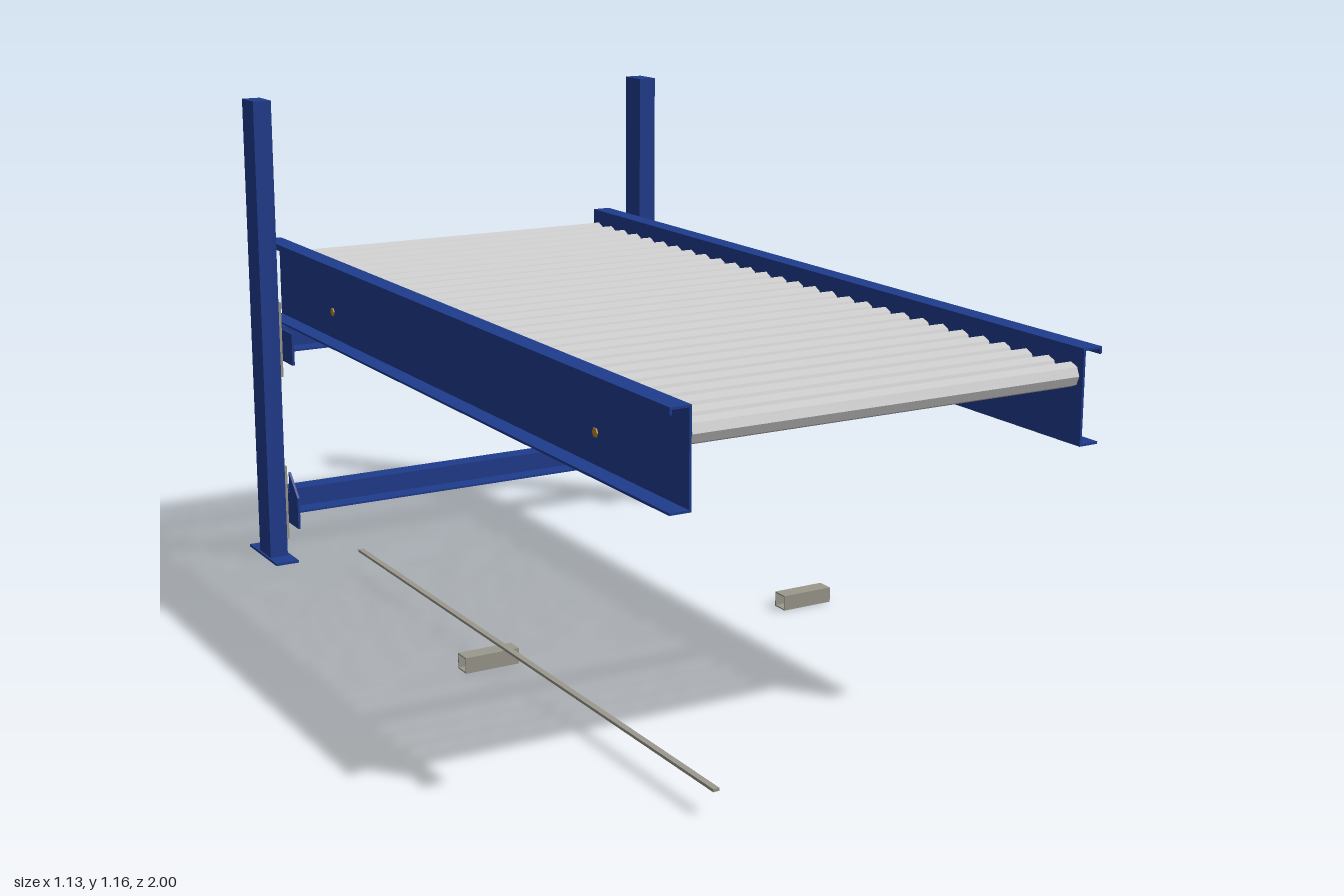
import * as THREE from 'three';

const mat = (name, color) => {
  const m = new THREE.MeshStandardMaterial({ color });
  m.name = name;
  return m;
};

export function createModel() {
  const blue = mat('frame blue', 0x1f3c8e);
  const silver = mat('roller silver', 0xcbcbcb);
  const orange = mat('tie bar orange', 0xb98426);
  const grey = mat('bracket grey', 0x9c988e);
  silver.flatShading = orange.flatShading = true;

  const model = new THREE.Group();
  model.name = 'rollerConveyor';

  const add = (name, geometry, material) => {
    const mesh = new THREE.Mesh(geometry, material);
    mesh.name = name;
    model.add(mesh);
    return mesh;
  };
  // box given by its limits on each axis
  const box = (name, material, x0, x1, y0, y1, z0, z1) =>
    add(name, new THREE.BoxGeometry(x1 - x0, y1 - y0, z1 - z0), material)
      .position.set((x0 + x1) / 2, (y0 + y1) / 2, (z0 + z1) / 2);
  // rod lying along x
  const rod = (name, material, r, sides, x0, x1, y, z) => {
    const g = new THREE.CylinderGeometry(r, r, x1 - x0, sides).rotateZ(Math.PI / 2);
    add(name, g, material).position.set((x0 + x1) / 2, y, z);
  };
  const extrude = (points, depth) => new THREE.ExtrudeGeometry(
    new THREE.Shape(points.map(p => new THREE.Vector2(...p))), { depth, bevelEnabled: false });

  // side rails: channels with flanges and short lips turned outward
  const t = 0.005;
  for (const s of [1, -1]) {
    const profile = [
      [0.452, 0.6], [0.498, 0.6], [0.498, 0.6 + t], [0.452 + t, 0.6 + t],
      [0.452 + t, 0.8 - t], [0.498 - t, 0.8 - t], [0.498 - t, 0.785],
      [0.498, 0.785], [0.498, 0.8], [0.452, 0.8],
    ].map(([x, y]) => [s * x, y]);
    add(s > 0 ? 'leftRail' : 'rightRail', extrude(profile, 2), blue).position.z = -1;
  }

  // rollers
  const count = 29;
  for (let i = 0; i < count; i++) {
    rod('roller', silver, 0.026, 8, -0.445, 0.45, 0.742, -0.968 + i * 1.934 / (count - 1));
  }

  // tie bars, with ends showing through the rail webs
  for (const z of [-0.655, 0.655]) {
    rod('tieBar', orange, 0.025, 8, -0.452, 0.455, 0.67, z);
    rod('tieBarEnd', orange, 0.01, 6, -0.46, 0.46, 0.67, z);
  }

  // posts
  for (const s of [1, -1]) {
    const x = s * 0.54;
    box(s > 0 ? 'leftPost' : 'rightPost', blue, x - 0.023, x + 0.023, 0, 1.162, -0.938, -0.863);
  }
  box('footPlate', blue, -0.568, -0.508, 0, 0.006, -1, -0.81);

  // cross members: channels open to the front, with end plates and brackets
  for (const top of [0.597, 0.175]) {
    const h = 0.066, w = 0.05;
    const channel = extrude([
      [0, 0], [w, 0], [w, t], [t, t], [t, h - t], [w, h - t], [w, h], [0, h],
    ], 1.006);
    channel.rotateY(-Math.PI / 2); // profile x -> z, length along -x
    add('crossMember', channel, blue).position.set(0.503, top - h, -0.925);

    for (const s of [1, -1]) {
      const x = s * 0.505;
      box('endPlate', blue, x - 0.003, x + 0.003, top - 0.085, top - 0.005, -1, -0.805);
      box('postBracket', grey, s * 0.513 - 0.005, s * 0.513 + 0.005,
        top - 0.127, top + 0.063, -0.93, -0.87);
    }
  }
  // sloped gussets above the lower end plates
  for (const s of [1, -1]) {
    const gusset = extrude([[-0.86, 0.17], [-0.805, 0.17], [-0.86, 0.225]], 0.006);
    gusset.rotateY(-Math.PI / 2);
    add('gusset', gusset, blue).position.x = s * 0.505 + 0.003;
  }

  // floor pads: short hollow sections
  for (const x of [-0.48, 0.355]) {
    const shape = new THREE.Shape([[0, 0], [0.04, 0], [0.04, 0.036], [0, 0.036]]
      .map(p => new THREE.Vector2(...p)));
    shape.holes.push(new THREE.Path([[0.003, 0.003], [0.003, 0.033], [0.037, 0.033], [0.037, 0.003]]
      .map(p => new THREE.Vector2(...p))));
    const pad = new THREE.ExtrudeGeometry(shape, { depth: 0.13, bevelEnabled: false });
    pad.rotateY(-Math.PI / 2);
    add('floorPad', pad, grey).position.set(x + 0.13, 0, 0.065);
  }

  // thin floor strip
  box('floorStrip', grey, -0.4, -0.386, 0.048, 0.054, -0.68, 1);

  return model;
}
